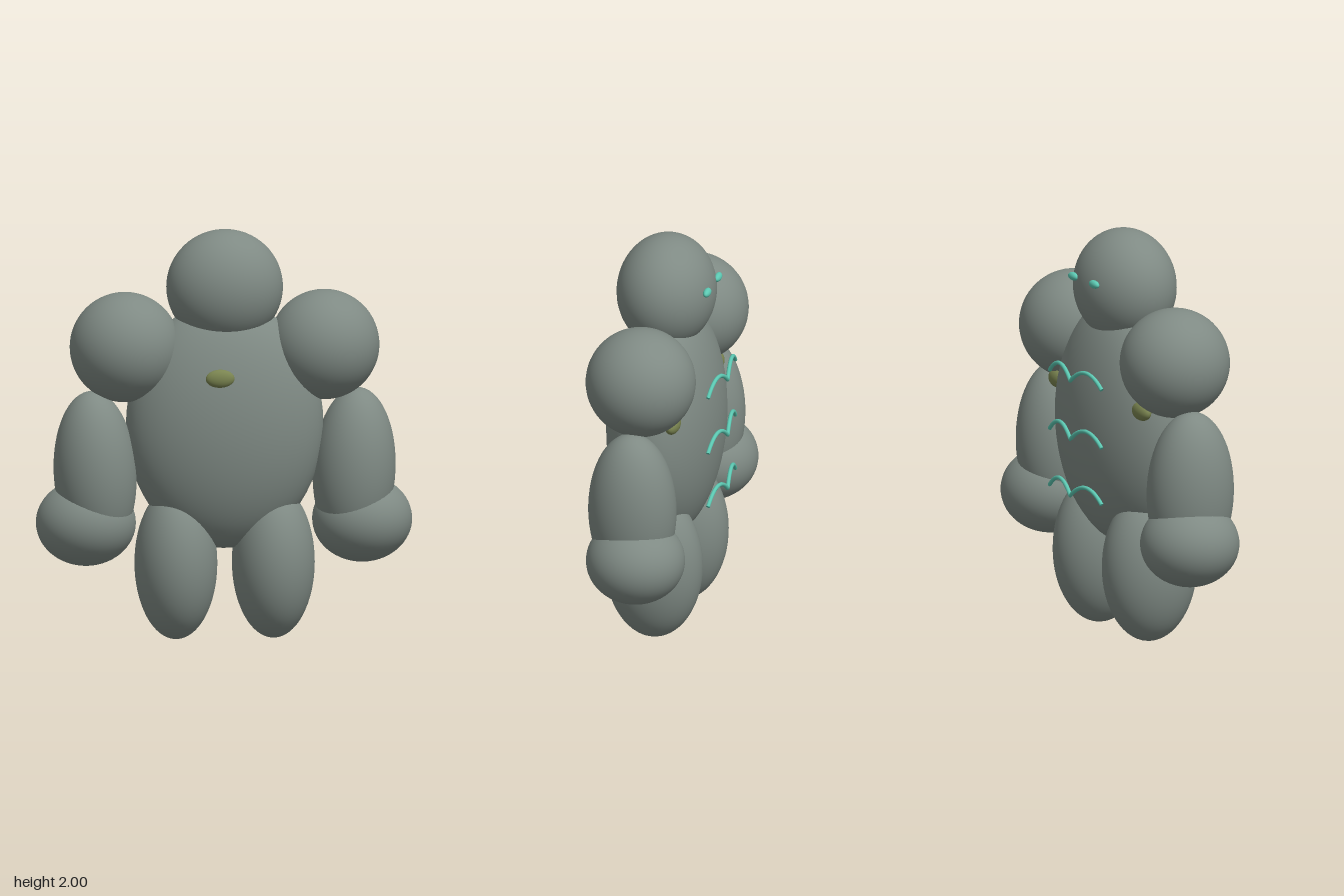
import * as THREE from 'three';

const stone = new THREE.MeshStandardMaterial({ color: 0x7f8a84 });
const moss = new THREE.MeshStandardMaterial({ color: 0x7a8450 });
const glow = new THREE.MeshStandardMaterial({ color: 0x5cc8b2 });

export function createModel() {
  const group = new THREE.Group();

  // Smooth ellipsoid from centre and radii, optionally tilted about z
  function ellipsoid(name, material, center, radii, tilt = 0) {
    const geometry = new THREE.SphereGeometry(1, 48, 32).scale(...radii);
    const mesh = new THREE.Mesh(geometry, material);
    mesh.name = name;
    mesh.position.set(...center);
    mesh.rotation.z = tilt;
    group.add(mesh);
  }

  // Boulder body
  ellipsoid('torso', stone, [0, 1.05, 0.02], [0.48, 0.605, 0.275]);
  ellipsoid('head', stone, [0, 1.72, 0.02], [0.283, 0.28, 0.24]);

  // Limbs, eyes and side moss, mirrored
  for (const [side, s] of [['left', 1], ['right', -1]]) {
    ellipsoid(side + 'Shoulder', stone, [0.485 * s, 1.432, 0.018], [0.267, 0.267, 0.267]);
    ellipsoid(side + 'Arm', stone, [0.63 * s, 0.82, 0.02], [0.2, 0.4, 0.215], -0.05 * s);
    ellipsoid(side + 'Hand', stone, [0.672 * s, 0.575, -0.007], [0.242, 0.21, 0.24]);
    ellipsoid(side + 'Leg', stone, [0.237 * s, 0.375, 0.02], [0.2, 0.372, 0.24]);
    ellipsoid(side + 'Eye', glow, [0.1 * s, 1.77, -0.21], [0.04, 0.02, 0.018]);
    ellipsoid(side + 'MossPatch', moss, [0.4 * s, 1.19, -0.12], [0.075, 0.045, 0.035]);
  }
  ellipsoid('chestMossPatch', moss, [-0.048, 1.305, 0.265], [0.07, 0.045, 0.03]);

  // Glowing runes: two arches meeting at a ridge
  [1.28, 0.99, 0.71].forEach((y, i) => {
    const path = new THREE.CurvePath();
    const ends = [[-0.25, -0.255], [0, -0.285], [0.25, -0.255]]
      .map(([x, z]) => new THREE.Vector3(x, y, z));
    for (let k = 0; k < 2; k++) {
      const peak = ends[k].clone().lerp(ends[k + 1], 0.5);
      peak.y += 0.12;
      path.add(new THREE.QuadraticBezierCurve3(ends[k], peak, ends[k + 1]));
    }
    const rune = new THREE.Mesh(new THREE.TubeGeometry(path, 40, 0.01, 10), glow);
    rune.name = 'backRune' + (i + 1);
    group.add(rune);
    // Flat caps on the open tube ends
    for (const t of [0, 1]) {
      const cap = new THREE.Mesh(new THREE.CircleGeometry(0.01, 10), glow);
      cap.name = 'runeCap';
      cap.position.copy(path.getPointAt(t));
      cap.lookAt(cap.position.clone().addScaledVector(path.getTangentAt(t), t ? 1 : -1));
      group.add(cap);
    }
  });

  return group;
}
